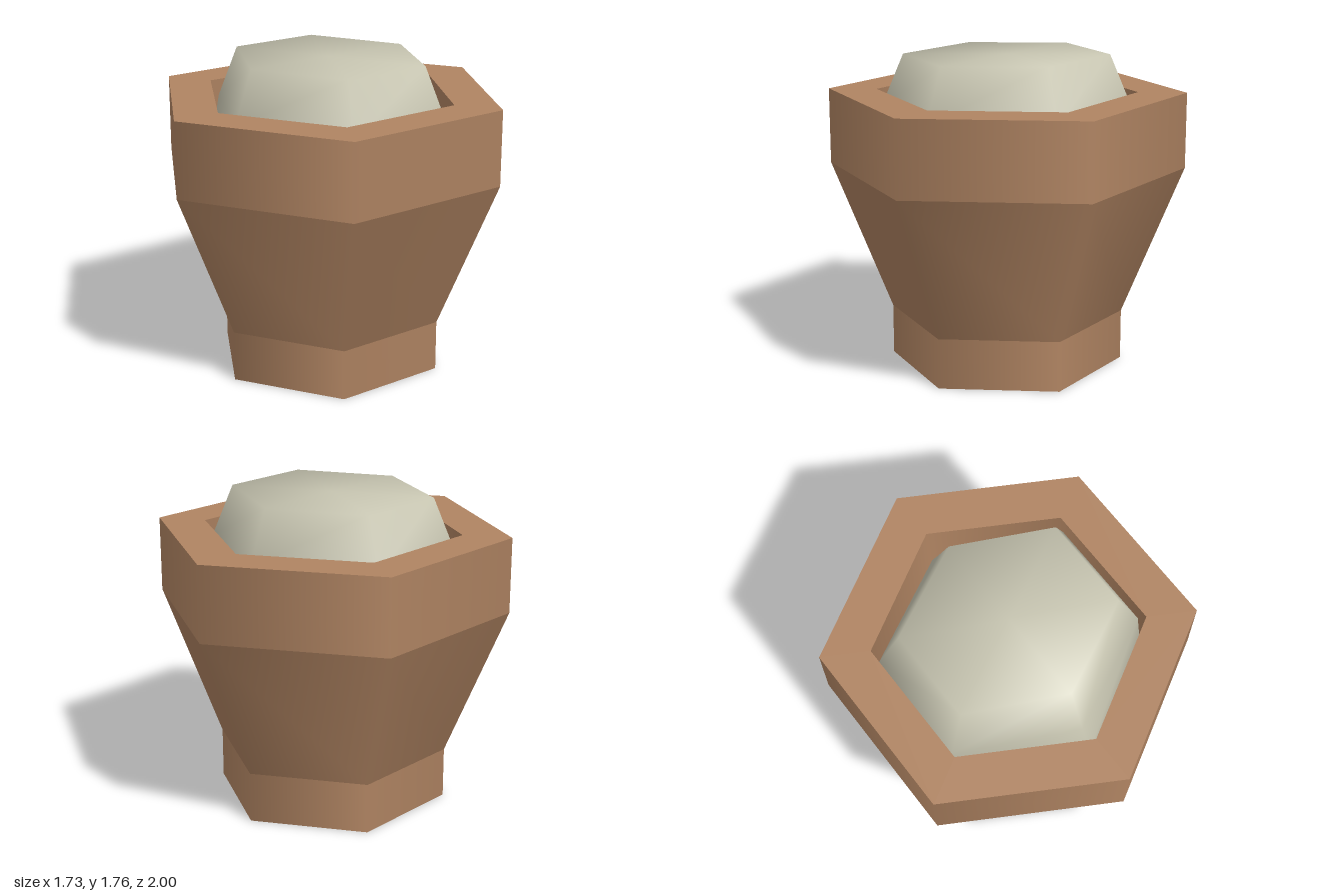
import * as THREE from 'three';

const clay = new THREE.MeshStandardMaterial({ color: 0xb08462 });
clay.name = 'clay brown';
const stone = new THREE.MeshStandardMaterial({ color: 0xc6c4b0 });
stone.name = 'pale stone';

// One six-sided band between two (radius, height) points; ascending faces outward
function band(name, r0, y0, r1, y1) {
  const points = [new THREE.Vector2(r0, y0), new THREE.Vector2(r1, y1)];
  const mesh = new THREE.Mesh(new THREE.LatheGeometry(points, 6), clay);
  mesh.name = name;
  return mesh;
}

// Smooth hexagonal stone lofted through rings of [height, tip z, side x, side z]
function createGem() {
  const rings = [
    [1.13, 0.7, 0.62, 0.36],
    [1.27, 0.7, 0.62, 0.36],
    [1.465, 0.625, 0.62, 0.32],
    [1.76, 0.515, 0.51, 0.262],
  ];
  const positions = [];
  const index = [];
  for (const [y, tip, x, z] of rings) {
    positions.push(0, y, tip, x, y, z, x, y, -z, 0, y, -tip, -x, y, -z, -x, y, z);
  }
  const centre = rings.length * 6;
  positions.push(0, 1.76, 0);
  for (let r = 0; r < rings.length; r++) {
    for (let i = 0; i < 6; i++) {
      const a = r * 6 + i;
      const b = r * 6 + ((i + 1) % 6);
      if (r === rings.length - 1) index.push(a, b, centre);
      else index.push(a, b, b + 6, a, b + 6, a + 6);
    }
  }
  const geometry = new THREE.BufferGeometry();
  geometry.setAttribute('position', new THREE.Float32BufferAttribute(positions, 3));
  geometry.setIndex(index);
  geometry.computeVertexNormals();
  const mesh = new THREE.Mesh(geometry, stone);
  mesh.name = 'gem';
  return mesh;
}

export function createModel() {
  const model = new THREE.Group();
  model.name = 'hexagonalPot';

  // Pot: foot, flared body, upright collar and the socket inside it
  const pot = new THREE.Group();
  pot.name = 'pot';
  pot.add(
    band('underside', 0, 0, 0.66, 0),
    band('foot', 0.66, 0, 0.66, 0.285),
    band('flaredBody', 0.66, 0.285, 1, 1.13),
    band('collar', 1, 1.13, 1, 1.555),
    band('rimTop', 1, 1.555, 0.73, 1.555),
    band('socketWall', 0.73, 1.555, 0.73, 1.13),
    band('socketFloor', 0.73, 1.13, 0, 1.13),
  );

  model.add(pot, createGem());
  return model;
}
